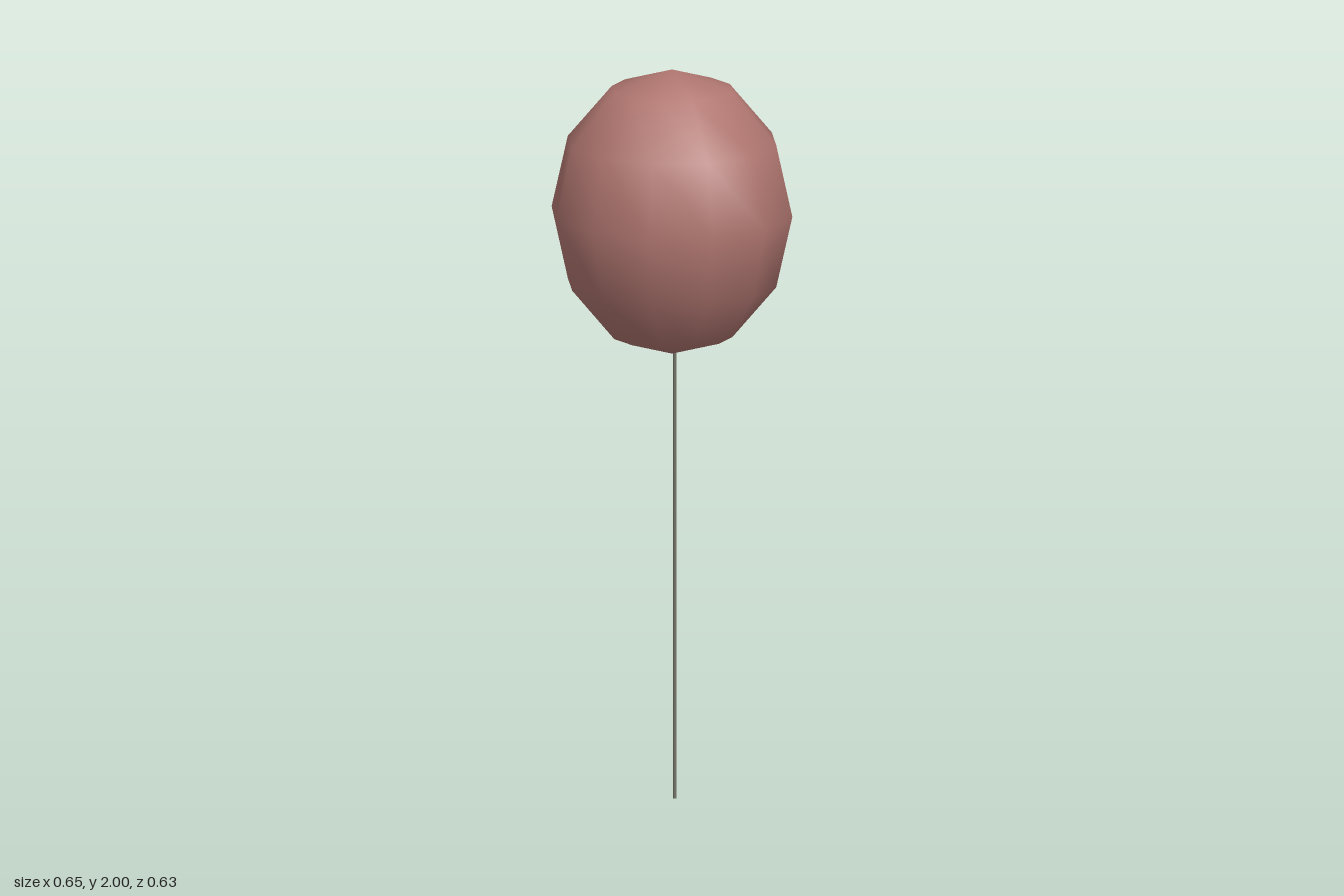
import * as THREE from 'three';

export function createModel() {
  const group = new THREE.Group();
  const rubber = new THREE.MeshStandardMaterial({ color: 0xb07670 });
  const cord = new THREE.MeshStandardMaterial({ color: 0x77776c });

  const add = (name, geometry, material, x, y, z) => {
    const mesh = new THREE.Mesh(geometry, material);
    mesh.name = name;
    mesh.position.set(x, y, z);
    group.add(mesh);
    return mesh;
  };

  // Low-poly balloon body with smooth normals
  const body = new THREE.SphereGeometry(1, 12, 6);
  body.scale(0.325, 0.388, 0.317);
  add('balloonBody', body, rubber, 0, 1.612, 0);

  // Tied neck: a small flared knot under the body
  const knotProfile = [[0, 0.024], [0.013, 0.02], [0.016, 0.01], [0.025, 0.003], [0.022, 0], [0, 0.003]]
    .map(([r, y]) => new THREE.Vector2(r, y)).reverse();
  add('knot', new THREE.LatheGeometry(knotProfile, 8), rubber, 0, 1.224, -0.042);

  // Straight string hanging down to the floor
  add('string', new THREE.CylinderGeometry(0.005, 0.005, 1.23, 6), cord, 0, 0.615, -0.042);

  return group;
}
